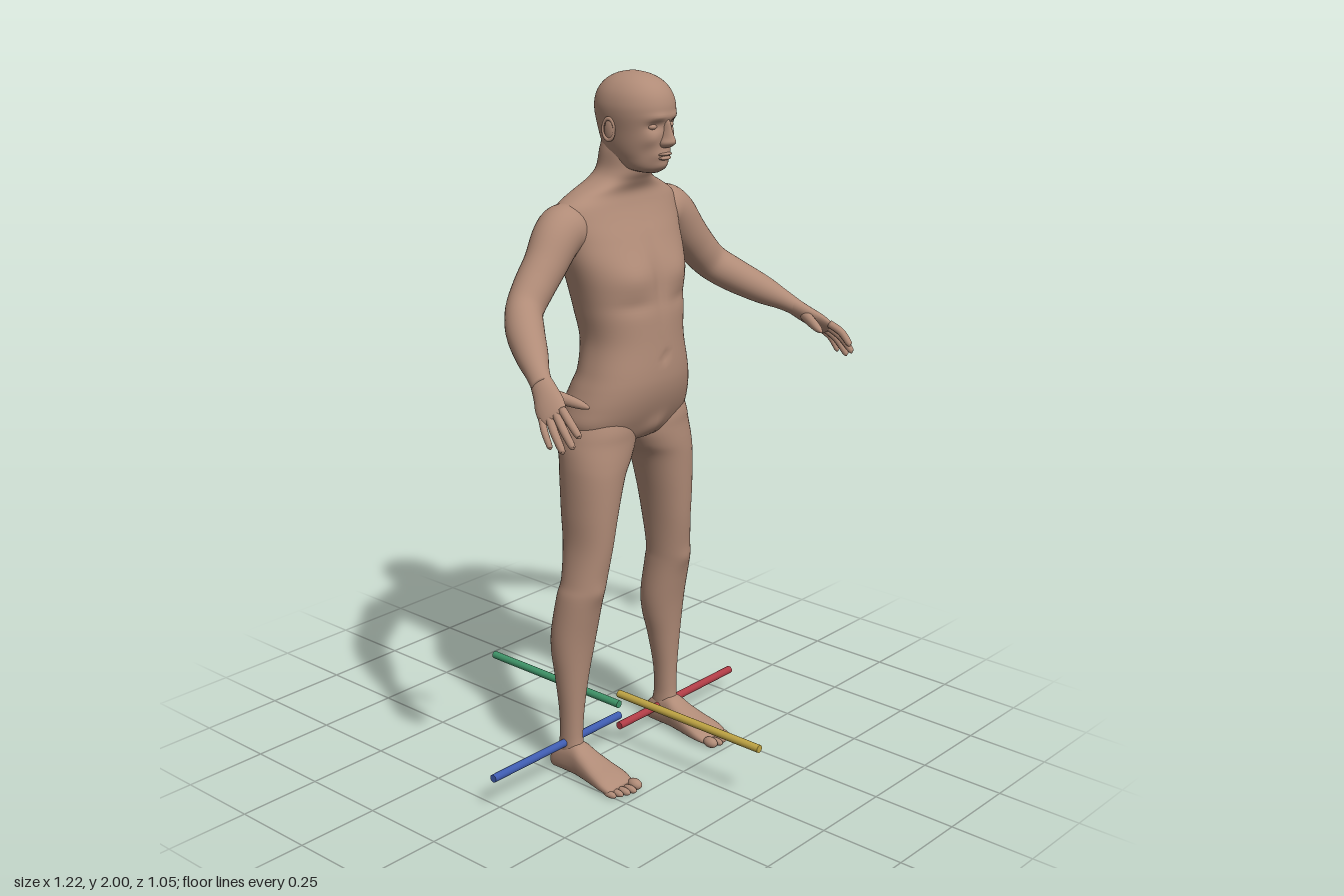
import * as THREE from 'three';

const V = (x, y, z) => new THREE.Vector3(x, y, z);

// Smoothly subdivide a table of cross-section values (Catmull-Rom per column)
function smooth(rows, n) {
  const out = [];
  const at = i => rows[Math.min(rows.length - 1, Math.max(0, i))];
  for (let i = 0; i < rows.length - 1; i++)
    for (let k = 0; k < n; k++) {
      const t = k / n, [a, b, c, d] = [at(i - 1), at(i), at(i + 1), at(i + 2)];
      out.push(b.map((_, j) => b[j] + 0.5 * t * (c[j] - a[j] + t * (2 * a[j] - 5 * b[j] + 4 * c[j] - d[j]
        + t * (3 * (b[j] - c[j]) + d[j] - a[j])))));
    }
  out.push(rows[rows.length - 1]);
  return out;
}

// Closed skin over a stack of rings, capped at both ends
function skin(rings) {
  const m = rings[0].length, pos = [], idx = [];
  rings.forEach(r => r.forEach(p => pos.push(p.x, p.y, p.z)));
  for (let i = 0; i < rings.length - 1; i++)
    for (let j = 0; j < m; j++) {
      const a = i * m + j, b = i * m + (j + 1) % m;
      idx.push(a, a + m, b, b, a + m, b + m);
    }
  [0, rings.length - 1].forEach((r, end) => {
    const c = V(0, 0, 0);
    rings[r].forEach(p => c.addScaledVector(p, 1 / m));
    const ci = pos.length / 3;
    pos.push(c.x, c.y, c.z);
    for (let j = 0; j < m; j++) {
      const a = r * m + j, b = r * m + (j + 1) % m;
      if (end) idx.push(ci, b, a); else idx.push(ci, a, b);
    }
  });
  const g = new THREE.BufferGeometry();
  g.setAttribute('position', new THREE.Float32BufferAttribute(pos, 3));
  g.setIndex(idx);
  g.computeVertexNormals();
  return g;
}

// One superellipse ring, placed by a function of (u, v) in -1..1
function ring(seg, n, place) {
  const p = v => Math.sign(v) * Math.abs(v) ** (2 / n);
  return Array.from({ length: seg }, (_, j) => {
    const a = j / seg * Math.PI * 2;
    return place(p(Math.cos(a)), p(Math.sin(a)));
  });
}

// Upright form, rows from the bottom up: [y, xMin, xMax, zFront, zBack]
const upright = (rows, seg, n, sub = 6) => skin(smooth(rows, sub).map(([y, x0, x1, zf, zb]) =>
  ring(seg, n, (u, v) => V((x0 + x1) / 2 + u * (x1 - x0) / 2, y, (zf + zb) / 2 + v * (zf - zb) / 2))));
const symmetric = rows => rows.map(([y, w, zf, zb]) => [y, -w, w, zf, zb]);

// Limb along a path, rows [x, y, z, widthRadius, thicknessRadius]
function limb(rows, side, seg = 20, sub = 5) {
  const s = smooth(rows, sub), c = s.map(r => V(r[0], r[1], r[2]));
  return skin(s.map((r, i) => {
    const t = c[Math.min(i + 1, c.length - 1)].clone().sub(c[Math.max(i - 1, 0)]).normalize();
    const U = side.clone().addScaledVector(t, -side.dot(t)).normalize(), W = U.clone().cross(t);
    return ring(seg, 2, (u, v) => c[i].clone().addScaledVector(U, u * r[3]).addScaledVector(W, v * r[4]));
  }));
}

// Soft bumps and hollows: [x, y, facing, radiusX, radiusY, amount], mirrored when x > 0
function sculpt(g, bumps) {
  const p = g.attributes.position;
  const all = bumps.flatMap(b => b[0] > 0 ? [b, [-b[0], ...b.slice(1)]] : [b]);
  for (let i = 0; i < p.count; i++) {
    const x = p.getX(i), y = p.getY(i), z = p.getZ(i);
    let dz = 0;
    for (const [bx, by, f, rx, ry, amt] of all)
      dz += f * amt * THREE.MathUtils.clamp((z - 0.03) * f / 0.04, 0, 1)
        * Math.exp(-(((x - bx) / rx) ** 2) - ((y - by) / ry) ** 2);
    p.setZ(i, z + dz);
  }
  g.computeVertexNormals();
  return g;
}

function mirror(g) {
  const m = g.clone().scale(-1, 1, 1), a = m.index.array;
  for (let i = 0; i < a.length; i += 3) [a[i], a[i + 1]] = [a[i + 1], a[i]];
  m.computeVertexNormals();
  return m;
}

const blob = (x, y, z, rx, ry, rz) => new THREE.SphereGeometry(1, 20, 14).scale(rx, ry, rz).translate(x, y, z);

export function createModel() {
  const model = new THREE.Group();
  const mat = (name, color) => Object.assign(new THREE.MeshStandardMaterial({ color }), { name });
  const skinTone = mat('skin', 0xb08b77);
  const add = (name, g, m = skinTone) => {
    const mesh = new THREE.Mesh(g, m);
    mesh.name = name;
    model.add(mesh);
  };
  const pair = (name, g) => { add('left' + name, g); add('right' + name, mirror(g)); };

  // Torso and neck
  add('torso', sculpt(upright(symmetric([
    [0.985, 0.1, 0.07, -0.04], [1.0, 0.18, 0.105, -0.07], [1.05, 0.21, 0.135, -0.098], [1.1, 0.203, 0.157, -0.1],
    [1.15, 0.188, 0.17, -0.088], [1.2, 0.172, 0.173, -0.072], [1.28, 0.157, 0.168, -0.074],
    [1.36, 0.168, 0.162, -0.09], [1.42, 0.18, 0.152, -0.1], [1.5, 0.2, 0.135, -0.11], [1.56, 0.21, 0.11, -0.113],
    [1.61, 0.22, 0.085, -0.11], [1.65, 0.212, 0.068, -0.096], [1.68, 0.165, 0.062, -0.082],
    [1.71, 0.1, 0.075, -0.07], [1.74, 0.074, 0.09, -0.055], [1.79, 0.068, 0.095, -0.045], [1.83, 0.06, 0.09, -0.035],
  ]), 72, 2.25), [
    [0.09, 1.46, 1, 0.07, 0.045, 0.014], [0.09, 1.385, 1, 0.06, 0.02, -0.005], [0, 1.45, 1, 0.016, 0.09, -0.008],
    [0, 1.235, 1, 0.012, 0.012, -0.008], [0, 1.03, 1, 0.035, 0.03, 0.012], [0.09, 1.07, -1, 0.065, 0.055, 0.016],
    [0, 1.05, -1, 0.016, 0.075, -0.035], [0, 1.36, -1, 0.022, 0.2, -0.012], [0.1, 1.53, -1, 0.05, 0.07, 0.008],
  ]));

  // Head and face
  add('head', sculpt(upright(symmetric([
    [1.737, 0.025, 0.135, 0.07], [1.75, 0.052, 0.15, 0.01], [1.78, 0.067, 0.16, -0.025], [1.81, 0.076, 0.163, -0.04],
    [1.85, 0.083, 0.168, -0.052], [1.89, 0.09, 0.173, -0.06], [1.92, 0.09, 0.172, -0.06], [1.95, 0.081, 0.16, -0.05],
    [1.975, 0.062, 0.136, -0.028], [1.992, 0.035, 0.1, 0.005], [2.0, 0.004, 0.056, 0.045],
  ]), 72, 2.15), [
    [0.034, 1.865, 1, 0.02, 0.013, -0.013], [0.03, 1.888, 1, 0.028, 0.01, 0.006], [0.045, 1.83, 1, 0.018, 0.016, 0.005],
    [0, 1.757, 1, 0.025, 0.013, 0.008], [0, 1.785, 1, 0.03, 0.016, 0.006], [0.05, 1.79, 1, 0.014, 0.02, -0.004],
  ]));
  add('nose', upright(symmetric([
    [1.806, 0.009, 0.172, 0.14], [1.812, 0.018, 0.186, 0.14], [1.822, 0.02, 0.197, 0.14], [1.835, 0.014, 0.194, 0.14],
    [1.855, 0.01, 0.186, 0.14], [1.875, 0.009, 0.179, 0.14], [1.89, 0.006, 0.168, 0.14],
  ]), 24, 1.8, 3));
  add('upperLip', blob(0, 1.789, 0.162, 0.025, 0.005, 0.013));
  add('lowerLip', blob(0, 1.779, 0.161, 0.022, 0.006, 0.013));
  pair('Eye', blob(0.034, 1.863, 0.146, 0.014, 0.008, 0.012));
  pair('Ear', blob(0.087, 1.85, 0.045, 0.008, 0.03, 0.018).rotateX(0));
  pair('EarRim', new THREE.TorusGeometry(0.02, 0.004, 8, 24).scale(0.85, 1.4, 1).rotateY(Math.PI / 2 - 0.25)
    .translate(0.092, 1.853, 0.044));

  // Legs
  pair('Leg', sculpt(upright([
    [0.015, 0.185, 0.232, 0.03, -0.05], [0.07, 0.178, 0.238, 0.042, -0.042], [0.12, 0.179, 0.237, 0.038, -0.034],
    [0.2, 0.172, 0.24, 0.04, -0.036], [0.3, 0.153, 0.25, 0.047, -0.048], [0.38, 0.133, 0.259, 0.055, -0.06],
    [0.45, 0.124, 0.26, 0.066, -0.06], [0.55, 0.125, 0.252, 0.088, -0.045], [0.6, 0.123, 0.24, 0.098, -0.037],
    [0.7, 0.11, 0.226, 0.112, -0.045], [0.8, 0.09, 0.228, 0.12, -0.055], [0.9, 0.06, 0.23, 0.125, -0.065],
    [0.95, 0.028, 0.229, 0.126, -0.073], [1.0, 0.004, 0.223, 0.124, -0.09], [1.05, 0.012, 0.208, 0.122, -0.095],
    [1.14, 0.04, 0.16, 0.1, -0.06],
  ], 40, 2.1), [[0.187, 0.57, 1, 0.03, 0.03, 0.006]]));

  // Feet, rows from the heel forwards: [z, xInner, xOuter, top]
  pair('Foot', skin(smooth([
    [-0.066, 0.198, 0.222, 0.04], [-0.055, 0.184, 0.236, 0.06], [-0.025, 0.175, 0.241, 0.085], [0.03, 0.171, 0.244, 0.1],
    [0.07, 0.165, 0.25, 0.082], [0.12, 0.157, 0.259, 0.06], [0.16, 0.153, 0.265, 0.045], [0.19, 0.158, 0.262, 0.03],
    [0.198, 0.168, 0.254, 0.022],
  ], 4).map(([z, x0, x1, top]) => ring(28, 2.5, (u, v) =>
    V((x0 + x1) / 2 + u * (x1 - x0) / 2, top / 2 + 0.002 - v * top / 2, z)))));
  [[0.17, 0.212, 0.016], [0.194, 0.215, 0.011], [0.215, 0.21, 0.011], [0.235, 0.202, 0.0105], [0.254, 0.192, 0.01]]
    .forEach(([x, z, r], i) => pair('Toe' + (i + 1), blob(x, r + 0.002, z, r, r, 0.024)));

  // Arms
  pair('Arm', limb([
    [0.12, 1.59, -0.02, 0.05, 0.05], [0.19, 1.593, -0.018, 0.07, 0.07], [0.235, 1.574, -0.012, 0.066, 0.068],
    [0.287, 1.515, -0.004, 0.058, 0.06], [0.335, 1.463, 0, 0.055, 0.056], [0.385, 1.412, 0.014, 0.05, 0.052],
    [0.43, 1.372, 0.06, 0.051, 0.049], [0.478, 1.331, 0.13, 0.043, 0.041], [0.51, 1.303, 0.18, 0.032, 0.029],
    [0.532, 1.28, 0.218, 0.028, 0.022],
  ], V(0, 0, 1), 32));

  // Hands: palm, four fingers and a thumb
  const across = V(0.417, -0.476, -0.774);
  pair('Palm', limb([
    [0.522, 1.291, 0.2, 0.028, 0.023], [0.542, 1.265, 0.24, 0.035, 0.021], [0.56, 1.245, 0.27, 0.041, 0.018],
    [0.573, 1.228, 0.294, 0.039, 0.013], [0.578, 1.222, 0.303, 0.03, 0.006],
  ], across));
  [[0.572, 1.19, 0.382], [0.59, 1.165, 0.377], [0.6, 1.15, 0.352], [0.606, 1.155, 0.315]].forEach((tip, i) => {
    const a = V(0.572, 1.23, 0.29).addScaledVector(across, -0.03 + i * 0.02), b = V(...tip);
    const mid = a.clone().lerp(b, 0.5).add(V(0.005, 0.006, 0)), end = a.clone().lerp(b, 0.93);
    const r = i === 3 ? 0.009 : 0.011;
    pair('Finger' + (i + 1), limb([[...a, r, r], [...mid, r, r], [...end, r * 0.8, r * 0.8], [...b, 0.002, 0.002]],
      across, 12));
  });
  pair('Thumb', limb([[0.54, 1.268, 0.232, 0.016, 0.016], [0.516, 1.255, 0.277, 0.016, 0.014],
    [0.497, 1.243, 0.318, 0.011, 0.011], [0.489, 1.237, 0.338, 0.003, 0.003]], across, 14));

  // Direction rods around the feet
  const rod = (name, y, dx, dz, m) => {
    const g = new THREE.CylinderGeometry(0.0115, 0.0115, 0.523, 20);
    if (dx) g.rotateZ(Math.PI / 2); else g.rotateX(Math.PI / 2);
    add(name, g.translate(dx * 0.2615, y, dz * 0.2615), m);
  };
  rod('leftRod', 0.065, 1, 0, mat('red', 0xb03c46));
  rod('rightRod', 0.1, -1, 0, mat('blue', 0x3f5cb0));
  rod('frontRod', 0.17, 0, 1, mat('yellow', 0xc0a544));
  rod('backRod', 0.135, 0, -1, mat('green', 0x3f9468));

  return model;
}
